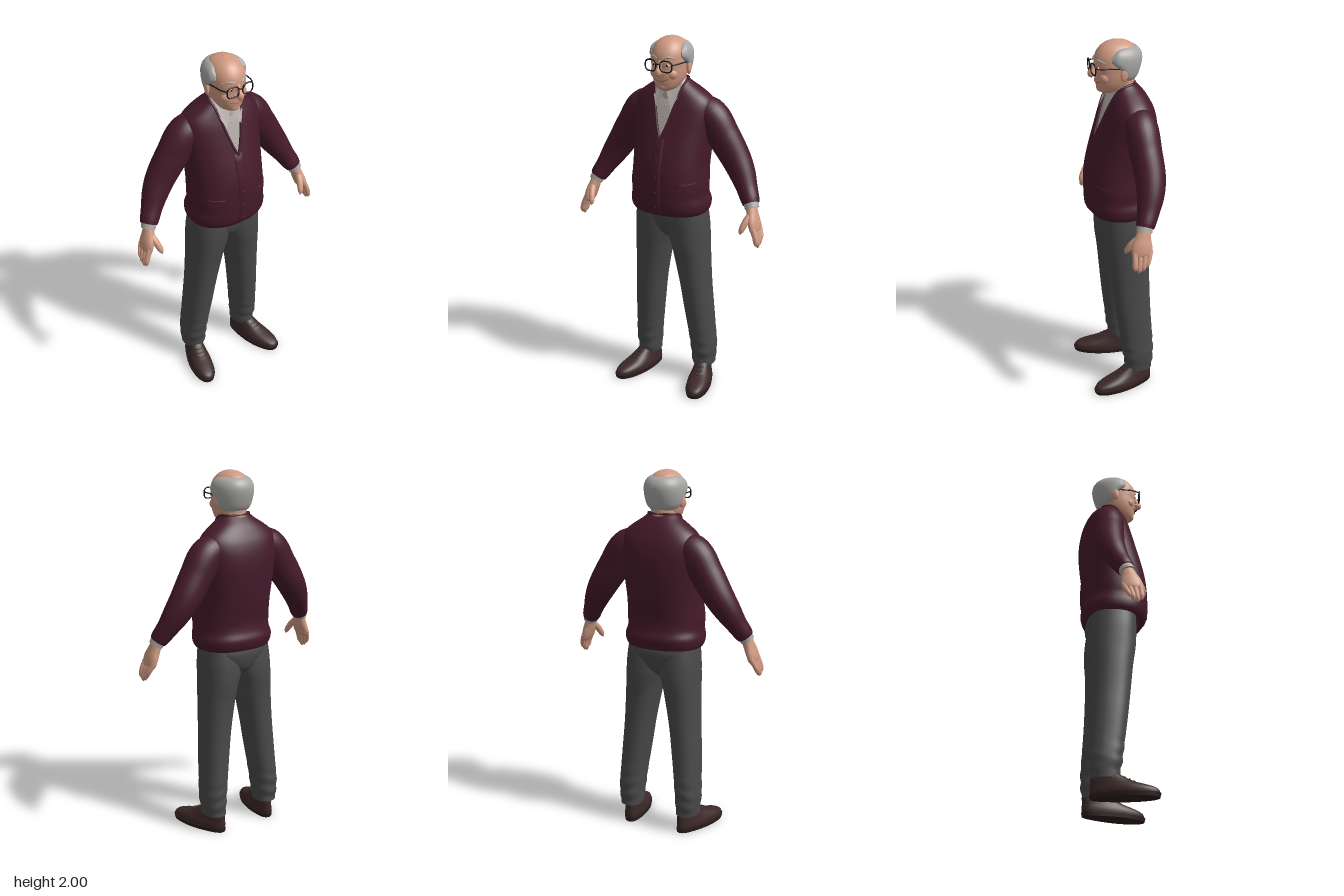
import * as THREE from 'three';

const mat = (name, color, side = THREE.FrontSide) =>
  Object.assign(new THREE.MeshStandardMaterial({ color, side }), { name });

// Smooth interpolation of table rows, the first column being the parameter
function at(rows, t) {
  let i = 0;
  while (i < rows.length - 2 && t > rows[i + 1][0]) i++;
  const a = rows[i], b = rows[i + 1], h = b[0] - a[0];
  const s = THREE.MathUtils.clamp((t - a[0]) / h, 0, 1);
  const slope = (k, c) => {
    const p = rows[Math.max(k - 1, 0)], q = rows[Math.min(k + 1, rows.length - 1)];
    return (q[c] - p[c]) / (q[0] - p[0]);
  };
  return a.slice(1).map((v, j) => {
    const c = j + 1, s2 = s * s, s3 = s2 * s;
    return v * (2 * s3 - 3 * s2 + 1) + b[c] * (3 * s2 - 2 * s3) +
      h * (slope(i, c) * (s3 - 2 * s2 + s) + slope(i + 1, c) * (s3 - s2));
  });
}

// Point on a stack of superellipses; rows are [y, centreX, halfWidth, zFront, zBack]
const pw = (v, n) => Math.sign(v) * Math.abs(v) ** (2 / n);
function pt(rows, y, phi, n = 2.3, out = 0) {
  const [cx, hw, zf, zb] = at(rows, y);
  return new THREE.Vector3(cx + (hw + out) * pw(Math.sin(phi), n), y,
    (zf + zb) / 2 + ((zf - zb) / 2 + out) * pw(Math.cos(phi), n));
}
function frontZ(rows, x, y, n = 2.3) {
  const [cx, hw, zf, zb] = at(rows, y);
  const k = Math.min(Math.abs(x - cx) / hw, 1);
  return (zf + zb) / 2 + (zf - zb) / 2 * (1 - k ** n) ** (1 / n);
}

// Surface from f(u, v), optionally closed around u and capped at both ends of v
function grid(f, nu, nv, closed = false, caps = false) {
  const pos = [], idx = [], w = closed ? nu : nu + 1;
  for (let j = 0; j <= nv; j++)
    for (let i = 0; i < w; i++) pos.push(...f(i / nu, j / nv).toArray());
  for (let j = 0; j < nv; j++)
    for (let i = 0; i < nu; i++) {
      const a = j * w + i, b = j * w + (i + 1) % w;
      idx.push(a, b, b + w, a, b + w, a + w);
    }
  if (caps) for (const v of [0, 1]) {
    const base = pos.length / 3, mid = new THREE.Vector3();
    for (let i = 0; i < nu; i++) {
      const p = f(i / nu, v);
      mid.addScaledVector(p, 1 / nu);
      pos.push(...p.toArray());
    }
    pos.push(...mid.toArray());
    for (let i = 0; i < nu; i++) {
      const a = base + i, b = base + (i + 1) % nu;
      idx.push(...(v ? [a, b, base + nu] : [b, a, base + nu]));
    }
  }
  const g = new THREE.BufferGeometry();
  g.setAttribute('position', new THREE.Float32BufferAttribute(pos, 3));
  g.setIndex(idx);
  g.computeVertexNormals();
  return g;
}
function stack(rows, n, nu = 40, nv = 32, warp = p => p) {
  const y0 = rows[0][0], y1 = rows[rows.length - 1][0];
  return grid((u, v) => warp(pt(rows, y0 + (y1 - y0) * v, u * Math.PI * 2, n)), nu, nv, true, true);
}
// Limb along rows [t, x, y, z, radius towards z, radius across]
function limb(rows, nu = 20, nv = 24) {
  const centre = t => new THREE.Vector3(...at(rows, t).slice(0, 3));
  return grid((u, v) => {
    const r = at(rows, v), a = u * Math.PI * 2;
    const dir = centre(Math.min(v + 0.02, 1)).sub(centre(Math.max(v - 0.02, 0))).normalize();
    const e1 = new THREE.Vector3(0, 0, 1).addScaledVector(dir, -dir.z).normalize();
    const e2 = dir.clone().cross(e1);
    return centre(v).addScaledVector(e1, Math.cos(a) * r[3]).addScaledVector(e2, Math.sin(a) * r[4]);
  }, nu, nv, true, true);
}
const tube = (pts, r, closed = false) => new THREE.TubeGeometry(
  new THREE.CatmullRomCurve3(pts.map(p => p.isVector3 ? p : new THREE.Vector3(...p)), closed), pts.length * 5, r, 8, closed);
const ball = (x, y, z, a, b, c) => new THREE.SphereGeometry(1, 20, 14).scale(a, b, c).translate(x, y, z);
function mirror(geo) {
  const g = geo.clone().scale(-1, 1, 1), ix = g.index.array;
  for (let i = 0; i < ix.length; i += 3) [ix[i], ix[i + 1]] = [ix[i + 1], ix[i]];
  return g;
}

const TORSO = [[1.05, 0, .208, .152, -.172], [1.07, 0, .219, .165, -.182], [1.11, 0, .222, .174, -.19],
  [1.15, 0, .212, .176, -.177], [1.2, 0, .214, .176, -.172], [1.3, 0, .209, .17, -.187], [1.4, 0, .213, .147, -.2],
  [1.5, 0, .222, .116, -.206], [1.58, 0, .23, .09, -.2], [1.64, 0, .225, .07, -.185], [1.68, 0, .203, .054, -.166],
  [1.72, 0, .15, .04, -.142], [1.75, 0, .105, .03, -.115], [1.775, 0, .08, .02, -.088]];
const HEAD = [[1.722, 0, .026, .082, .02], [1.735, 0, .052, .1, -.03], [1.77, 0, .075, .112, -.07],
  [1.81, 0, .087, .117, -.09], [1.85, 0, .092, .117, -.1], [1.88, 0, .094, .121, -.108], [1.92, 0, .092, .116, -.112],
  [1.955, 0, .08, .097, -.1], [1.98, 0, .058, .07, -.075], [1.994, 0, .032, .04, -.042], [2, 0, .006, .008, -.008]];
const LEG = [[.1, .178, .06, -.005, -.152], [.13, .177, .063, 0, -.155], [.2, .178, .068, .012, -.16],
  [.3, .17, .07, .025, -.158], [.45, .156, .076, .045, -.15], [.6, .141, .081, .062, -.146], [.76, .123, .093, .08, -.147],
  [.85, .112, .1, .094, -.155], [.9, .103, .108, .099, -.157], [.98, .096, .112, .103, -.152], [1.08, .095, .103, .1, -.135]];
const SEAT = [[.87, 0, .015, 0, -.06], [.9, 0, .045, .05, -.11], [.94, 0, .1, .085, -.146],
  [.99, 0, .165, .1, -.161], [1.03, 0, .195, .105, -.164], [1.08, 0, .197, .104, -.152]];
const SHOE = [[.018, 0, .063, .302, -.05], [.035, 0, .064, .3, -.054], [.05, 0, .062, .284, -.054], [.065, 0, .057, .242, -.053],
  [.08, 0, .053, .188, -.052], [.1, 0, .048, .145, -.05], [.12, 0, .046, .108, -.046], [.135, 0, .044, .09, -.044]];
const SOLE = [[0, 0, .065, .302, -.053], [.022, 0, .068, .308, -.056]];

export function createModel() {
  const root = new THREE.Group();
  root.name = 'standingMan';
  const M = {
    knit: mat('burgundyKnit', 0x451a2a, THREE.DoubleSide), cloth: mat('charcoalCloth', 0x494949),
    shirt: mat('greyShirt', 0xaea8a2, THREE.DoubleSide), skin: mat('skin', 0xd09a82), hair: mat('greyHair', 0xa8a7a5),
    shoe: mat('brownLeather', 0x3b2827), sole: mat('darkSole', 0x2a1d1b), frame: mat('blackFrame', 0x191617),
    white: mat('eyeWhite', 0xe4ded6), lip: mat('lip', 0x96594b),
  };
  const add = (name, geo, m) => {
    const mesh = new THREE.Mesh(geo, m);
    mesh.name = name;
    root.add(mesh);
  };
  const both = (name, geo, m) => {
    add(name + 'Left', geo, m);
    add(name + 'Right', mirror(geo), m);
  };
  const TAU = Math.PI * 2;

  // Cardigan body, open along the V neck
  const vPhi = y => {
    const x = .088 * (Math.max(0, y - 1.475) / .3) ** .75;
    return Math.asin(Math.min(1, x / at(TORSO, y)[1]) ** 1.15);
  };
  add('cardiganBody', grid((u, v) => {
    const y = 1.05 + .725 * v, p0 = vPhi(y);
    return pt(TORSO, y, p0 + u * (TAU - 2 * p0));
  }, 64, 58), M.knit);
  add('cardiganHem', grid((u, v) => pt(TORSO, 1.05, u * TAU).multiply(new THREE.Vector3(1 - v * .12, 1, 1 - v * .12)), 48, 1, true), M.knit);
  const edge = [1.47, 1.5, 1.55, 1.6, 1.65, 1.7, 1.74, 1.765].map(y => pt(TORSO, y, vPhi(y)));
  const nape = [2.1, 2.6, Math.PI, TAU - 2.6, TAU - 2.1].map(a => pt(TORSO, 1.773, a));
  add('neckBand', tube([...edge, ...nape, ...edge.slice().reverse().map(p => new THREE.Vector3(-p.x, p.y, p.z))], .007), M.knit);

  // Strips that hug the front of the cardigan
  const strip = (x0, x1, y0, y1, out) => grid((u, v) => {
    const x = x0 + (x1 - x0) * u, y = y0 + (y1 - y0) * v, lift = Math.min(1, 6 * u, 6 - 6 * u, 20 * v, 20 - 20 * v);
    return new THREE.Vector3(x, y, frontZ(TORSO, x, y) + out * lift);
  }, 12, 24);
  add('buttonPlacket', strip(-.028, .028, 1.05, 1.48, .006), M.knit);
  both('pocketTrim', strip(.11, .195, 1.22, 1.243, .005), M.knit);
  for (let i = 0; i < 5; i++) {
    const y = 1.1 + i * .083;
    add('cardiganButton' + (i + 1), ball(0, y, frontZ(TORSO, 0, y) + .006, .008, .008, .003), M.knit);
  }

  // Shirt front, collar and buttons
  add('shirtFront', grid((u, v) => {
    const p = pt(TORSO, 1.42 + .35 * v, (u - .5) * 3);
    return new THREE.Vector3(p.x * .96, p.y, p.z - .008);
  }, 32, 20), M.shirt);
  add('collarStand', grid((u, v) => {
    const a = u * TAU, r = .079 - .004 * v;
    return new THREE.Vector3(r * Math.sin(a), 1.66 + v * (.088 - .022 * Math.cos(a)), -.028 + r * Math.cos(a));
  }, 32, 4, true), M.shirt);
  const leaf = new THREE.BufferGeometry();
  leaf.setAttribute('position', new THREE.Float32BufferAttribute(
    [.005, 1.715, .057, .045, 1.628, .086, .072, 1.69, .056, .072, 1.752, .012], 3));
  leaf.setIndex([0, 1, 3, 1, 2, 3]);
  leaf.computeVertexNormals();
  both('collarLeaf', leaf, M.shirt);
  for (let i = 0; i < 3; i++) {
    const y = 1.53 + i * .055;
    add('shirtButton' + (i + 1), ball(0, y, frontZ(TORSO, 0, y) - .007, .005, .005, .003), M.shirt);
  }

  // Sleeves, cuffs and hands
  both('sleeve', limb([[0, .1, 1.63, -.065, .07, .06], [.14, .2, 1.587, -.07, .088, .09], [.35, .28, 1.472, -.075, .085, .09],
    [.55, .35, 1.365, -.078, .08, .081], [.72, .4, 1.285, -.064, .071, .07], [.86, .44, 1.215, -.04, .058, .056],
    [.96, .47, 1.163, -.018, .05, .05], [1, .478, 1.148, -.012, .046, .045]], 28, 40), M.knit);
  both('shirtCuff', limb([[0, .473, 1.16, -.014, .042, .04], [1, .488, 1.126, -.004, .041, .038]], 24, 2), M.shirt);
  both('palm', limb([[0, .48, 1.145, -.008, .032, .028], [.3, .494, 1.1, .003, .042, .029], [.65, .509, 1.055, .012, .055, .028],
    [.9, .521, 1.015, .016, .054, .021], [1, .525, 1, .017, .044, .008]]), M.skin);
  [[-.036, .952], [-.008, .934], [.021, .926], [.049, .94]].forEach(([z, tip], i) => {
    const zt = z * .75 + .018, k = i ? .0145 : .0125;
    both('finger' + (i + 1), limb([[0, .517, 1.035, z + .004, k, k + .002], [.5, .537, (1.035 + tip) / 2, (z + zt) / 2 + .006, k, k],
      [.85, .544, tip + .015, zt + .004, k * .9, k * .85], [1, .545, tip, zt + .004, .003, .003]], 12, 12), M.skin);
  });
  both('thumb', limb([[0, .494, 1.105, .02, .018, .019], [.5, .478, 1.062, .06, .018, .018],
    [.85, .466, 1.022, .083, .013, .014], [1, .462, 1.004, .088, .003, .003]], 14, 14), M.skin);

  // Trousers with soft folds above the shoe
  add('trouserSeat', stack(SEAT, 2.4), M.cloth);
  both('trouserLeg', stack(LEG, 2.3, 40, 64, p => {
    const fade = THREE.MathUtils.smoothstep(.4 - p.y, 0, .25);
    return p.setZ(p.z + .004 * fade * Math.sin(p.y * 85 + p.x * 20));
  }), M.cloth);

  // Shoes, turned slightly outwards
  const turn = new THREE.Matrix4().makeRotationY(.25).setPosition(.17, 0, -.1);
  const foot = p => {
    p.x *= .84 + .16 * THREE.MathUtils.smoothstep(p.z, -.02, .16);
    return p.applyMatrix4(turn);
  };
  both('shoeUpper', stack(SHOE, 2.3, 40, 20, foot), M.shoe);
  both('shoeSole', stack(SOLE, 2.3, 40, 2, foot), M.sole);
  [.085, .097, .109].forEach((y, i) =>
    both('lace' + (i + 1), tube([-.4, -.2, 0, .2, .4].map(a => foot(pt(SHOE, y, a, 2.3, .001))), .0035), M.shoe));

  // Head, neck and ears
  add('neck', new THREE.CylinderGeometry(.068, .07, .16, 32).translate(0, 1.74, -.028), M.skin);
  add('head', stack(HEAD, 2.15, 48, 44), M.skin);
  add('chin', ball(0, 1.75, .084, .034, .024, .026), M.skin);
  both('cheek', ball(.045, 1.815, .075, .033, .032, .03), M.skin);
  both('ear', ball(0, 0, 0, .013, .04, .024).rotateX(-.2).rotateY(.35).translate(.1, 1.843, -.015), M.skin);
  add('nose', limb([[0, 0, 1.89, .112, .01, .011], [.45, 0, 1.857, .126, .014, .012], [.8, 0, 1.832, .136, .02, .018],
    [.94, 0, 1.819, .132, .016, .015], [1, 0, 1.814, .126, .004, .004]]), M.skin);
  both('nostril', ball(.016, 1.826, .119, .01, .009, .012), M.skin);
  add('mouth', tube([-.042, -.03, -.015, 0, .015, .03, .042].map(x =>
    [x, 1.782 + 6 * x * x, frontZ(HEAD, x, 1.782 + 6 * x * x, 2.15) + .001]), .0026), M.lip);
  both('eye', ball(.04, 1.866, frontZ(HEAD, .04, 1.866, 2.15) - .001, .013, .007, .006), M.white);
  both('pupil', ball(.039, 1.866, frontZ(HEAD, .04, 1.866, 2.15) + .004, .006, .006, .003), M.frame);
  both('eyebrow', limb([[0, .017, 1.9, .119, .004, .004], [.5, .045, 1.908, .107, .006, .006], [1, .075, 1.896, .079, .003, .003]], 10, 10), M.hair);

  // Hair wrapped around the back and sides, leaving the crown bald
  const HAIR = [[0, 1.79, 1.966], [.9, 1.795, 1.968], [1.3, 1.815, 1.97], [1.55, 1.862, 1.968], [1.75, 1.885, 1.96], [1.95, 1.905, 1.935]];
  add('hair', grid((u, v) => {
    const a = (v * 2 - 1) * 1.95, [lo, hi] = at(HAIR, Math.abs(a)), s = u * TAU;
    const y = (lo + hi) / 2 + (hi - lo) / 2 * pw(Math.sin(s), 2.6);
    const thick = .022 * Math.min(1, (2.05 - Math.abs(a)) * 3);
    return pt(HEAD, y, Math.PI - a, 2.15, thick * pw(Math.cos(s), 2.6));
  }, 28, 56, true, true), M.hair);

  // Glasses
  const rim = Array.from({ length: 20 }, (_, i) => {
    const a = i / 20 * TAU;
    return [.045 + .033 * pw(Math.cos(a), 3), 1.865 + .029 * pw(Math.sin(a), 3), .137 - .004 * Math.cos(a)];
  });
  both('glassesRim', tube(rim, .0036, true), M.frame);
  add('glassesBridge', tube([[-.014, 1.872, .14], [0, 1.876, .143], [.014, 1.872, .14]], .0035), M.frame);
  both('glassesTemple', tube([[.077, 1.876, .133], [.093, 1.876, .1], [.099, 1.875, .04], [.103, 1.868, -.015], [.1, 1.85, -.035]], .0035), M.frame);

  return root;
}
